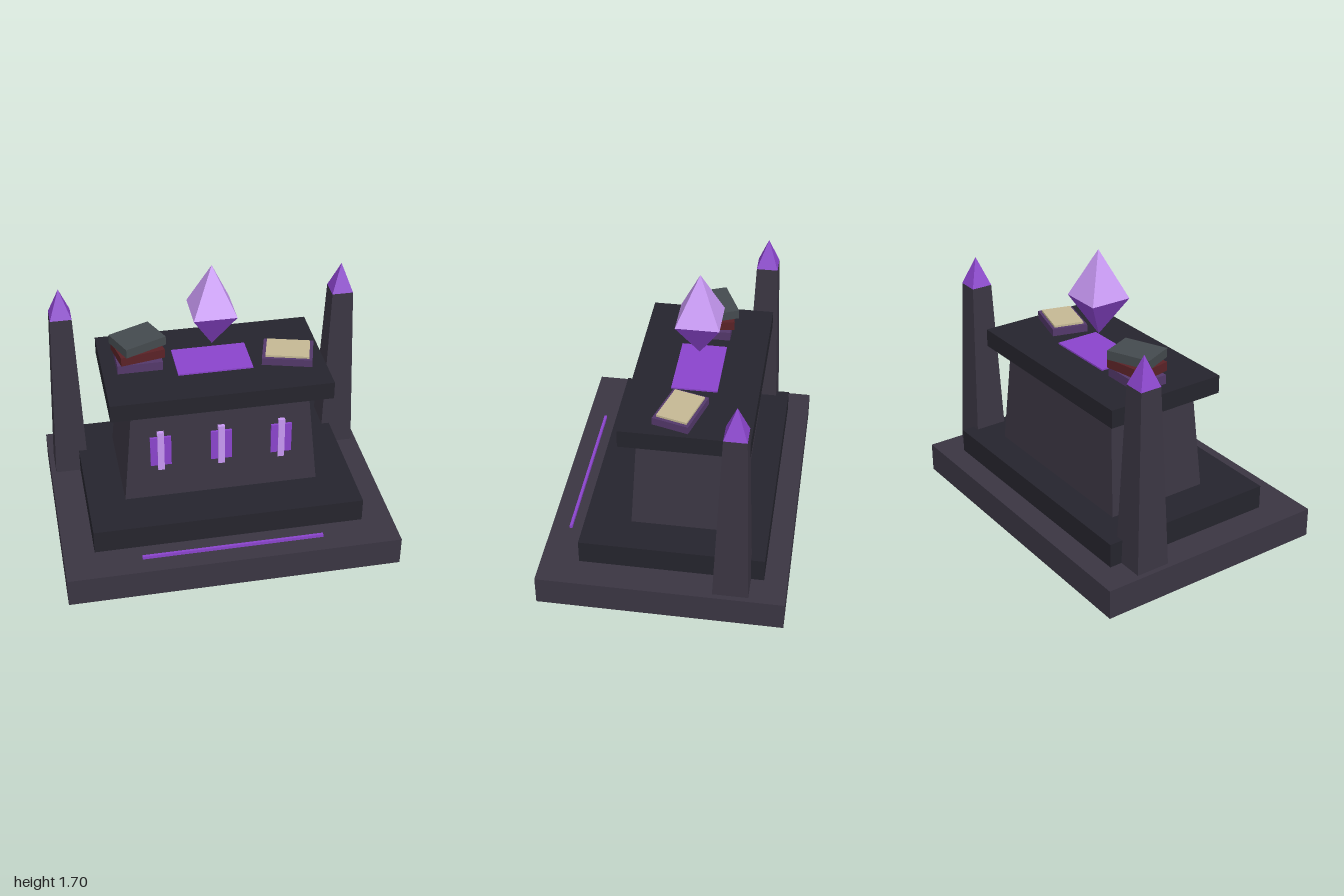
import * as THREE from 'three';

const STONE = 0x3a3542, DARK = 0x25242d, PURPLE = 0x8a44cc, LILAC = 0xc697f2;
const BOOK_PURPLE = 0x53386a, BOOK_RED = 0x5a2226, BOOK_GREY = 0x444a4e, PAPER = 0xc4b894;

export function createModel() {
  const model = new THREE.Group();
  model.name = 'altar';

  function add(name, geometry, color, x, y, z, turn = 0) {
    const material = new THREE.MeshStandardMaterial({ color, flatShading: true });
    const mesh = new THREE.Mesh(geometry, material);
    mesh.name = name;
    mesh.position.set(x, y, z);
    mesh.rotation.y = turn;
    model.add(mesh);
    return mesh;
  }

  // Box given by its size and the height of its underside
  const box = (name, color, w, h, d, x, y, z, turn) =>
    add(name, new THREE.BoxGeometry(w, h, d), color, x, y + h / 2, z, turn);

  // Four-sided frustum with half-widths at bottom and top; depth = z/x ratio
  function taper(name, color, bottom, top, h, x, y, z, depth = 1) {
    const g = new THREE.CylinderGeometry(top * Math.SQRT2, bottom * Math.SQRT2, h, 4, 1);
    g.rotateY(Math.PI / 4);
    g.scale(1, 1, depth);
    return add(name, g, color, x, y + h / 2, z);
  }

  // Stepped platform and altar table
  box('base', STONE, 2, 0.18, 1.45, 0, 0, 0);
  box('step', DARK, 1.63, 0.147, 1.09, 0, 0.18, -0.045);
  taper('pedestal', STONE, 0.59, 0.53, 0.62, 0, 0.327, -0.095, 0.542);
  box('tableTop', DARK, 1.32, 0.11, 0.75, 0, 0.947, -0.095);
  box('glowStrip', PURPLE, 1.09, 0.02, 0.016, 0, 0.18, 0.607);

  // Runes on the pedestal front
  for (const x of [-0.365, 0, 0.365]) {
    box('runePanel', PURPLE, 0.126, 0.2, 0.03, x, 0.552, 0.203);
    box('runeBar', LILAC, 0.04, 0.27, 0.04, x, 0.52, 0.204);
  }

  // Obelisks with pointed caps
  for (const side of [-1, 1]) {
    taper('obelisk', STONE, 0.104, 0.065, 1.095, side * 0.865, 0.18, -0.41);
    taper('obeliskCap', PURPLE, 0.065, 0, 0.178, side * 0.865, 1.275, -0.41);
  }

  // Cloth and floating crystal
  box('cloth', PURPLE, 0.45, 0.01, 0.27, 0, 1.057, -0.095);
  taper('crystalTop', LILAC, 0.128, 0, 0.29, 0, 1.41, -0.095);
  taper('crystalBottom', PURPLE, 0, 0.128, 0.235, 0, 1.175, -0.095);

  // Stack of books, each turned further than the one below
  [[BOOK_PURPLE, 0], [BOOK_RED, 0.19], [BOOK_GREY, 0.41]].forEach(([color, turn], i) =>
    box('stackedBook', color, 0.27, 0.056, 0.203, -0.438, 1.06 + i * 0.067, -0.138, turn));

  // Open book
  box('openBookCover', BOOK_PURPLE, 0.3, 0.046, 0.22, 0.455, 1.057, -0.05, -0.27);
  box('openBookPages', PAPER, 0.26, 0.022, 0.185, 0.455, 1.094, -0.05, -0.27);

  return model;
}
